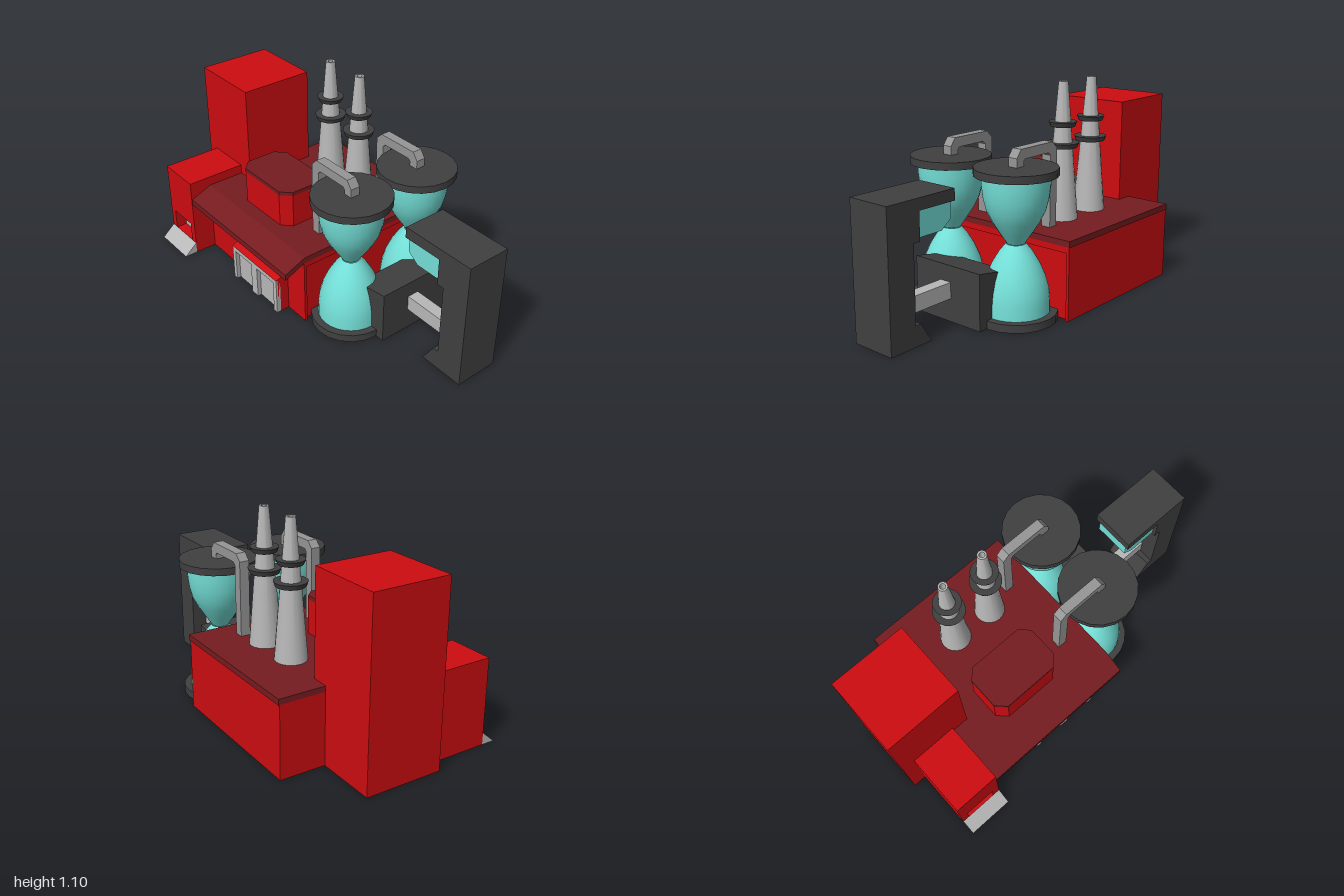
import * as THREE from 'three';
import { toCreasedNormals } from 'three/addons/utils/BufferGeometryUtils.js';

const mat = (color) => new THREE.MeshStandardMaterial({ color, side: THREE.DoubleSide });
const RED = mat(0xcc0c10), ROOF = mat(0x761c20), DARK = mat(0x404040);
const CYAN = mat(0x74e0d8), GREY = mat(0xb8b8b8), PIPE = mat(0x969696);

export function createModel() {
  const model = new THREE.Group();

  const add = (name, geometry, material) => {
    const mesh = new THREE.Mesh(geometry, material);
    mesh.name = name;
    model.add(mesh);
    return mesh;
  };
  const rect = (a0, a1, b0, b1) => [[a0, b0], [a1, b0], [a1, b1], [a0, b1]];
  const chamfered = (a0, a1, b0, b1, c) => [
    [a0 + c, b0], [a1 - c, b0], [a1, b0 + c], [a1, b1 - c],
    [a1 - c, b1], [a0 + c, b1], [a0, b1 - c], [a0, b0 + c]];
  const vecs = (pts) => pts.map((p) => new THREE.Vector2(...p));
  const extrude = (pts, depth, holes = []) => {
    const shape = new THREE.Shape(vecs(pts));
    holes.forEach((h) => shape.holes.push(new THREE.Path(vecs(h))));
    return new THREE.ExtrudeGeometry(shape, { depth, bevelEnabled: false });
  };
  // outlines in (x, y), (z, y) and (x, z), extruded along z, x and y
  const alongZ = (pts, z0, z1, holes) => extrude(pts, z1 - z0, holes).translate(0, 0, z0);
  const alongX = (pts, x0, x1, holes) =>
    extrude(pts, x1 - x0, holes).rotateY(-Math.PI / 2).translate(x1, 0, 0);
  const alongY = (pts, y0, y1, holes) =>
    extrude(pts, y1 - y0, holes).rotateX(Math.PI / 2).translate(0, y1, 0);
  const box = (x0, x1, y0, y1, z0, z1) =>
    new THREE.BoxGeometry(x1 - x0, y1 - y0, z1 - z0)
      .translate((x0 + x1) / 2, (y0 + y1) / 2, (z0 + z1) / 2);
  // box without some of its sides (0 +x, 1 -x, 2 +y, 3 -y, 4 +z, 5 -z)
  const openBox = (dims, drop) => {
    const g = box(...dims);
    g.setIndex(Array.from(g.index.array).filter((v, i) => !drop.includes(Math.floor(i / 6))));
    g.clearGroups();
    return g;
  };

  // Tall tower, hollow and open below
  add('tower', openBox([-1, -0.59, 0, 0.94, -0.285, 0.125], [3]), RED);

  // Annex with a recessed hatch and a ramp
  add('annexWalls', openBox([-0.93, -0.68, 0, 0.455, 0.125, 0.45], [3, 4]), RED);
  add('annexFront', alongZ(rect(-0.93, -0.68, 0, 0.455), 0.39, 0.457,
    [rect(-0.89, -0.72, 0.06, 0.175)]), RED);
  add('annexHatch', box(-0.89, -0.72, 0.06, 0.175, 0.385, 0.395), GREY);
  add('annexRamp', alongX([[0.457, 0], [0.53, 0], [0.457, 0.063]], -0.93, -0.68), GREY);

  // Main hall walls
  add('hallWalls', openBox([-0.68, 0.18, 0, 0.375, -0.525, 0.335], [0, 2, 3, 4]), RED);
  add('hallFront', alongZ([[-0.68, 0], [-0.36, 0], [-0.36, 0.205], [0.04, 0.205], [0.04, 0],
    [0.18, 0], [0.18, 0.375], [-0.68, 0.375]], 0.32, 0.335), RED);
  add('hallSideFrame', alongX([[-0.525, 0], [-0.51, 0], [-0.51, 0.34], [0.32, 0.34], [0.32, 0],
    [0.335, 0], [0.335, 0.375], [-0.525, 0.375]], 0.16, 0.183), RED);
  add('hallSidePanel', box(0.155, 0.165, 0, 0.345, -0.52, 0.325), RED);

  // Roof with sloping eave and a raised roof house
  add('roof', alongY(rect(-0.68, 0.187, -0.53, 0.335), 0.372, 0.403,
    [chamfered(-0.46, -0.08, 0, 0.25, 0.05)]), ROOF);
  add('eave', alongX([[0.335, 0.372], [0.453, 0.32], [0.453, 0.353], [0.335, 0.403]],
    -0.68, 0.187), ROOF);
  add('roofHouse', alongY(chamfered(-0.47, -0.07, -0.01, 0.26, 0.05), 0.4, 0.585,
    [chamfered(-0.46, -0.08, 0, 0.25, 0.05)]), RED);
  add('roofHouseTop', alongY(chamfered(-0.47, -0.07, -0.01, 0.26, 0.05), 0.585, 0.605), ROOF);

  // Entrance porch with double doors
  add('porchAwning', alongX([[0.335, 0.205], [0.41, 0.205], [0.335, 0.24]], -0.36, 0.04), RED);
  for (const x of [-0.36, 0.03]) {
    add('porchSide', box(x, x + 0.01, 0, 0.205, 0.335, 0.4), RED);
  }
  add('doorFrame', alongZ([[-0.36, 0], [-0.333, 0], [-0.333, 0.18], [-0.187, 0.18], [-0.187, 0],
    [-0.135, 0], [-0.135, 0.18], [0.012, 0.18], [0.012, 0], [0.04, 0], [0.04, 0.205],
    [-0.36, 0.205]], 0.385, 0.41), GREY);
  for (const x of [-0.333, -0.135]) {
    add('door', box(x, x + 0.147, 0, 0.18, 0.38, 0.388), GREY);
  }

  // Chimneys with flared collars
  const lathe = (pts, segments) =>
    toCreasedNormals(new THREE.LatheGeometry(vecs(pts), segments), 0.6);
  const chimney = lathe([[0.082, 0.4], [0.024, 1.1], [0.014, 1.1], [0.014, 1.0], [0, 1.0]], 20);
  const collars = [[0.77, 0.795, 0.074, 0.083, 0.045], [0.875, 0.9, 0.061, 0.071, 0.035]].map(
    ([y0, y1, r0, r1, ri]) => lathe([[ri, y0], [r0, y0], [r1, y1], [ri, y1]], 20));
  for (const x of [-0.345, -0.11]) {
    add('chimney', chimney, GREY).position.set(x, 0, -0.255);
    collars.forEach((g) => add('chimneyCollar', g, DARK).position.set(x, 0, -0.255));
  }

  // Hourglass tanks with lids, base rings and pipes
  const lower = new THREE.LatheGeometry(vecs([[0.166, 0.03], [0.165, 0.1], [0.158, 0.155],
    [0.142, 0.215], [0.115, 0.277], [0.08, 0.335], [0.047, 0.375]]), 28);
  const upper = new THREE.LatheGeometry(vecs([[0.043, 0.375], [0.08, 0.43], [0.115, 0.485],
    [0.142, 0.54], [0.157, 0.6], [0.164, 0.66], [0.165, 0.715]]), 28);
  const ring = lathe([[0.165, 0.04], [0.165, 0], [0.203, 0], [0.203, 0.04], [0.165, 0.04]], 20);
  const lid = new THREE.CylinderGeometry(0.203, 0.203, 0.038, 20).translate(0, 0.727, 0);
  const pipe = alongZ([[0.02, 0.4], [0.07, 0.4], [0.07, 0.765], [0.085, 0.78], [0.26, 0.78],
    [0.27, 0.77], [0.27, 0.74], [0.32, 0.74], [0.32, 0.79], [0.29, 0.83], [0.055, 0.83],
    [0.02, 0.795]], -0.026, 0.026);
  for (const z of [0.128, -0.294]) {
    add('tankLower', lower, CYAN).position.set(0.295, 0, z);
    add('tankUpper', upper, CYAN).position.set(0.295, 0, z);
    add('tankBase', ring, DARK).position.set(0.295, 0, z);
    add('tankLid', lid, DARK).position.set(0.295, 0, z);
    add('tankPipe', pipe, PIPE).position.z = z;
  }

  // Coupling block, beam and C-shaped end arm
  add('couplingBlock', alongZ([[0.345, 0], [0.545, 0], [0.545, 0.283], [0.345, 0.248]],
    -0.287, 0.127), DARK);
  add('beam', box(0.54, 0.86, 0.118, 0.2, -0.102, -0.037), GREY);
  add('endArm', alongZ([[0.755, 0], [1, 0], [1, 0.683], [0.592, 0.683], [0.592, 0.625],
    [0.812, 0.625], [0.812, 0.485], [0.85, 0.485], [0.85, 0.103], [0.82, 0.103]],
    -0.185, 0.05), DARK);
  add('armWindow', alongZ([[0.598, 0.63], [0.598, 0.54], [0.66, 0.495], [0.815, 0.495],
    [0.815, 0.63]], -0.165, 0.03), CYAN);

  return model;
}
